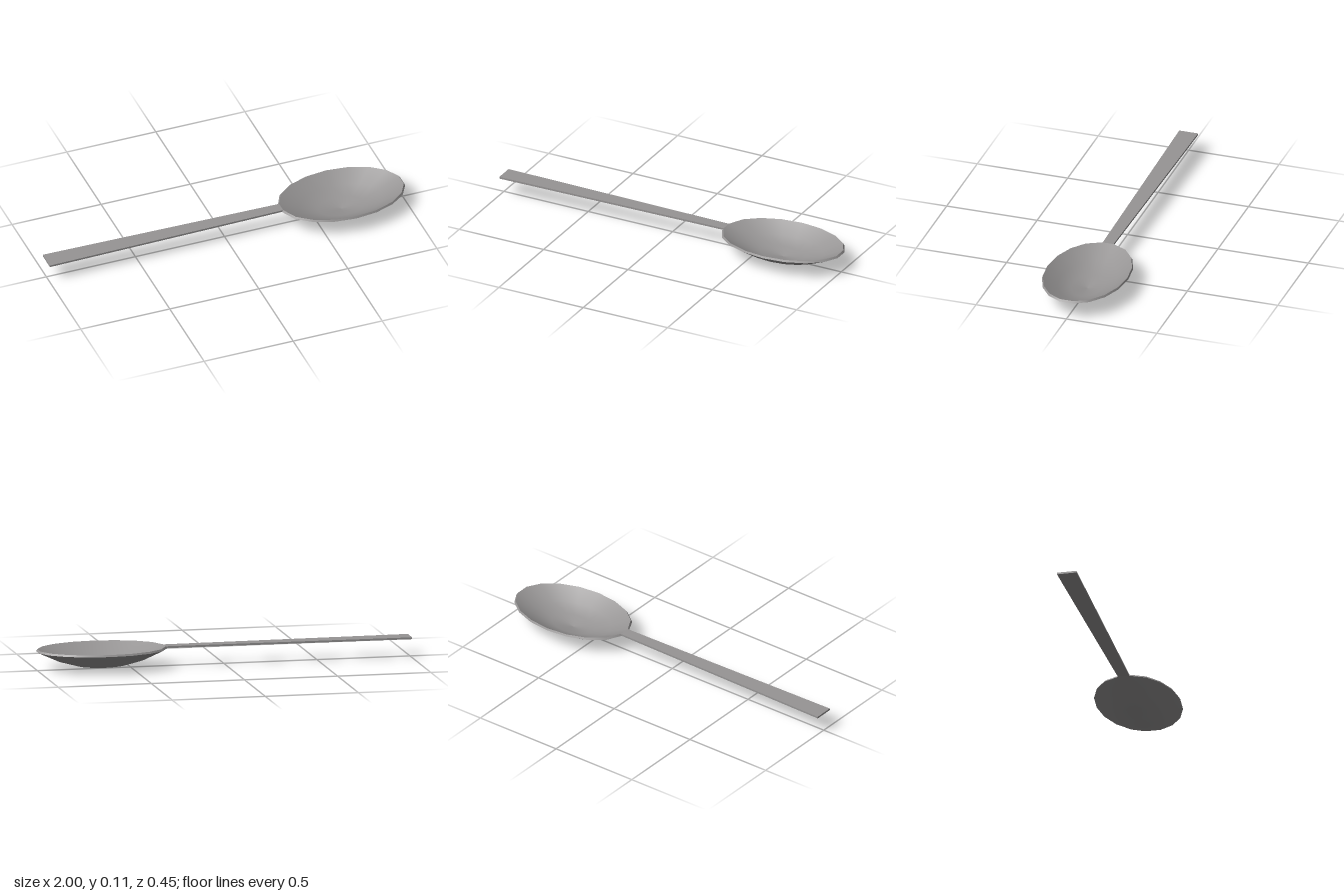
import * as THREE from 'three';

const SIDES = 18, CENTRE_X = 0.655, STRETCH = 0.35 / 0.225;

// Oval surface of revolution, narrowed where it meets the handle
function ovalSurface(profile) {
  const points = profile.map(([r, y]) => new THREE.Vector2(r, y));
  const geometry = new THREE.LatheGeometry(points, SIDES);
  const pos = geometry.attributes.position;
  for (let i = 0; i < pos.count; i++) {
    if (pos.getY(i) > 0.09 && pos.getX(i) < -0.21) {
      pos.setZ(i, Math.sign(pos.getZ(i)) * 0.03);
    }
  }
  return geometry.scale(STRETCH, 1, 1).translate(CENTRE_X, 0, 0);
}

export function createModel() {
  const model = new THREE.Group();
  model.name = 'spoon';
  const metal = new THREE.MeshStandardMaterial({ color: 0x979595 });
  metal.name = 'brushed grey metal';

  const add = (name, geometry) => {
    const mesh = new THREE.Mesh(geometry, metal);
    mesh.name = name;
    model.add(mesh);
  };

  // Bowl: underside, thin rim and hollow
  add('bowlUnderside', ovalSurface([[0, 0.002], [0.085, 0.019], [0.151, 0.048], [0.225, 0.1]]));
  add('bowlRim', ovalSurface([[0.225, 0.1], [0.22, 0.11]]));
  add('bowlHollow', ovalSurface([[0.22, 0.11], [0.147, 0.057], [0.082, 0.028], [0, 0.012]]));

  // Flat handle, widening towards its free end
  const start = -1, end = 0.318;
  const handle = new THREE.BoxGeometry(end - start, 0.01, 1);
  handle.translate((start + end) / 2, 0.105, 0);
  const pos = handle.attributes.position;
  for (let i = 0; i < pos.count; i++) {
    pos.setZ(i, Math.sign(pos.getZ(i)) * (pos.getX(i) < 0 ? 0.052 : 0.03));
  }
  handle.computeVertexNormals();
  add('handle', handle);

  return model;
}
